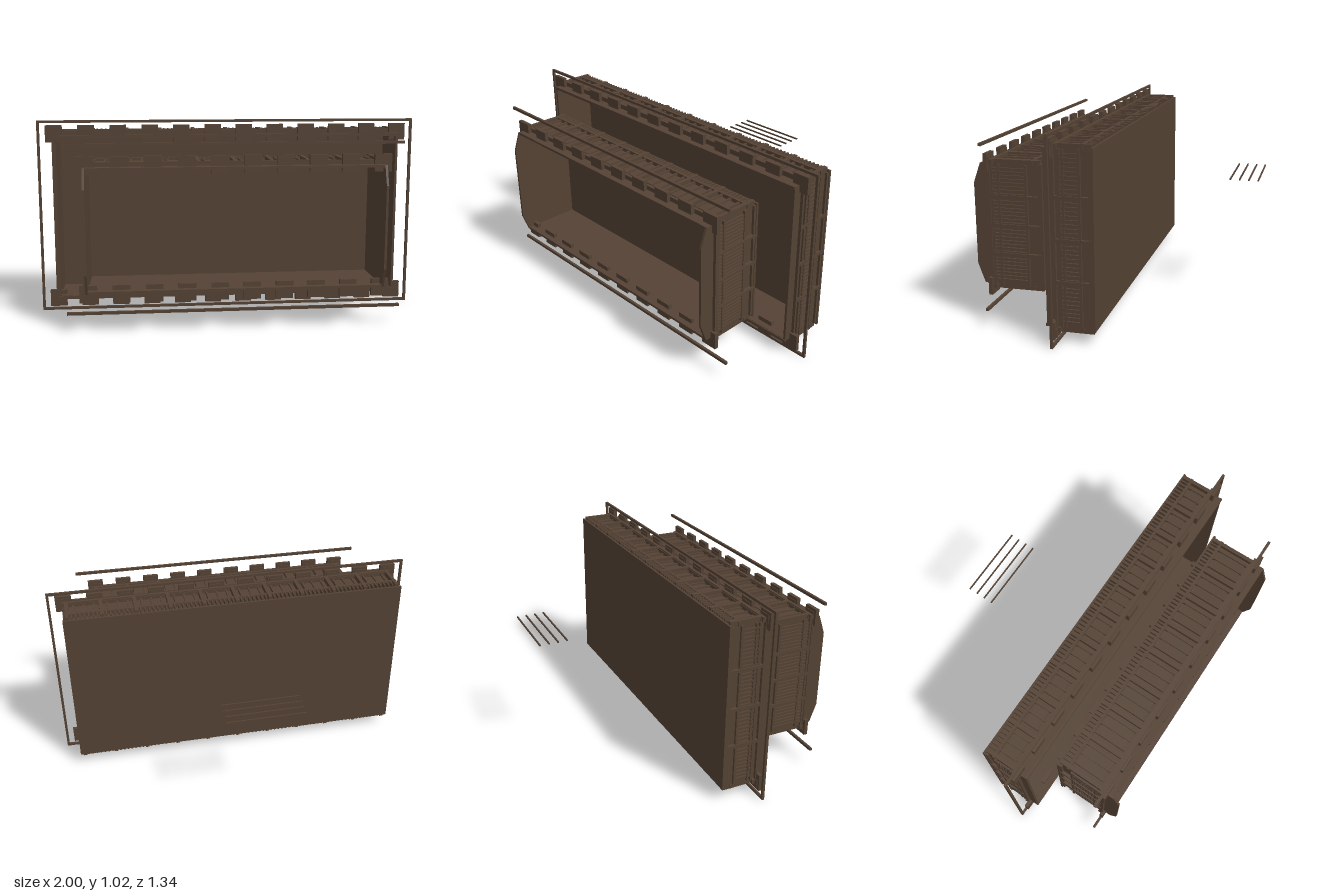
import * as THREE from 'three';

const CY = 0.51; // height of the horizontal mirror plane

export function createModel() {
  const model = new THREE.Group();
  const brown = new THREE.MeshStandardMaterial({ color: 0x544234 });
  brown.name = 'dark brown';

  // box from min/max extents
  function box(parent, name, x0, x1, y0, y1, z0, z1) {
    const m = new THREE.Mesh(new THREE.BoxGeometry(x1 - x0, y1 - y0, z1 - z0), brown);
    m.position.set((x0 + x1) / 2, (y0 + y1) / 2, (z0 + z1) / 2);
    m.name = name;
    parent.add(m);
    return m;
  }
  // the same box on the top and bottom wall; a, b measured out from the mirror plane
  function topBottom(parent, name, x0, x1, a, b, z0, z1) {
    box(parent, name, x0, x1, CY + a, CY + b, z0, z1);
    box(parent, name, x0, x1, CY - b, CY - a, z0, z1);
  }
  // the same box on the left and right wall; a, b measured out from x = 0
  function leftRight(parent, name, a, b, y0, y1, z0, z1) {
    box(parent, name, a, b, y0, y1, z0, z1);
    box(parent, name, -b, -a, y0, y1, z0, z1);
  }

  // open tray with ribbed walls; w, h are the outer half sizes of its walls
  function tray(name, o) {
    const g = new THREE.Group();
    g.name = name;
    model.add(g);
    const { w, h, z0, z1, rimZ, ribW, ribH } = o;
    const t = 0.012;

    // shell
    box(g, 'backPanel', -w - ribW, w + ribW, CY - h - 0.01, CY + h + 0.01, z0, z0 + 0.012);
    topBottom(g, 'longWall', -w, w, h - t, h, z0 + 0.01, z1);
    if (o.cheek) {
      // end walls with chamfered front corners
      const s = new THREE.Shape();
      s.moveTo(z0 + 0.01, -h);
      s.lineTo(z1, -h);
      s.lineTo(z1 + o.cheek, -h + 0.1);
      s.lineTo(z1 + o.cheek, h - 0.1);
      s.lineTo(z1, h);
      s.lineTo(z0 + 0.01, h);
      const geo = new THREE.ExtrudeGeometry(s, { depth: t, bevelEnabled: false });
      geo.rotateY(-Math.PI / 2); // shape x becomes z, depth runs to -x
      for (const x of [w, -w + t]) {
        const m = new THREE.Mesh(geo, brown);
        m.position.set(x, CY, 0);
        m.name = 'endWall';
        g.add(m);
      }
    } else {
      leftRight(g, 'endWall', w - t, w, CY - h, CY + h, z0 + 0.01, z1);
      topBottom(g, 'frontLip', -w, w, h - 0.01, h + 0.004, z1 - 0.01, z1 + 0.005);
    }

    // rim around the mouth, with rows of tabs
    topBottom(g, 'rim', -w - ribW, w + ribW, h, h + ribH, rimZ - 0.028, rimZ - 0.012);
    leftRight(g, 'rim', w, w + ribW, CY - h - ribH, CY + h + ribH, rimZ - 0.012, rimZ);
    for (let i = 0; i < o.tabs; i++) {
      const x = -o.tabX + (2 * o.tabX * i) / (o.tabs - 1);
      topBottom(g, 'tab', x - 0.043, x + 0.043, o.tabY, o.tabY + 0.088, rimZ - 0.008, rimZ + 0.012);
      topBottom(g, 'tabBacking', x - 0.03, x + 0.03, h, h + ribH + 0.015, rimZ - 0.012, rimZ - 0.004);
    }

    // long walls: cross ribs, framed panels and fins in every bay
    const pitch = (2 * w - 0.02) / o.bays;
    const zb = z0 + 0.01, zf = rimZ - 0.02, zm = z0 + 0.065;
    for (let i = 0; i <= o.bays; i++) {
      const x = -w + 0.01 + i * pitch;
      topBottom(g, 'crossRib', x - 0.01, x + 0.01, h, h + ribH, zb, zf);
      if (i === o.bays) break;
      topBottom(g, 'panel', x + 0.035, x + pitch - 0.035, h, h + 0.008, zm + 0.015, zf - 0.03);
      for (const f of [0.2, 0.5, 0.8]) {
        topBottom(g, 'panelBar', x + f * pitch - 0.005, x + f * pitch + 0.005, h, h + 0.016, zm, zf - 0.02);
      }
      for (let k = 1; k < 8; k++) {
        const fx = x + (k * pitch) / 8;
        topBottom(g, 'fin', fx - 0.004, fx + 0.004, h, h + ribH - 0.004, zb, zm - 0.015);
      }
    }
    topBottom(g, 'lengthRail', -w - 0.005, w + 0.005, h, h + ribH - 0.003, zm - 0.015, zm);
    topBottom(g, 'lengthRail', -w - 0.005, w + 0.005, h, h + ribH - 0.006, zf - 0.012, zf);

    // end walls: shelves, slats and uprights
    const rows = 4, step = o.shelf;
    for (let i = -1; i <= 1; i++) {
      leftRight(g, 'shelf', w, w + ribW, CY + i * step - 0.008, CY + i * step + 0.008, zb, rimZ);
    }
    const top = CY + h - 0.015, bottom = CY - h + 0.015;
    const count = o.slats * rows;
    for (let i = 0; i < count; i++) {
      const y = bottom + ((i + 0.5) * (top - bottom)) / count;
      leftRight(g, 'slat', w, w + ribW * 0.6, y - 0.006, y + 0.006, o.slatZ0, o.slatZ1);
    }
    const d = (o.slatZ1 - o.slatZ0) * 0.78;
    for (const [z, s] of [[o.slatZ0 - 0.012, 0.012], [o.slatZ0 + d, 0.01], [o.slatZ1, 0.012], [zb, 0.015]]) {
      leftRight(g, 'upright', w, w + ribW * 0.8, CY - h, CY + h, z, z + s);
    }
    return g;
  }

  // large rear tray
  const rear = tray('rearTray', {
    w: 0.91, h: 0.43, z0: 0, z1: 0.245, rimZ: 0.2, ribW: 0.015, ribH: 0.025,
    tabs: 12, tabX: 0.913, tabY: 0.395, bays: 10, shelf: 0.205,
    slats: 10, slatZ0: 0.075, slatZ1: 0.16,
  });

  // smaller front tray
  const front = tray('frontTray', {
    w: 0.74, h: 0.308, z0: 0.31, z1: 0.632, rimZ: 0.59, ribW: 0.016, ribH: 0.022,
    tabs: 10, tabX: 0.728, tabY: 0.272, bays: 8, shelf: 0.147,
    slats: 8, slatZ0: 0.4, slatZ1: 0.565, cheek: 0.036,
  });

  // thin frame round the rear tray
  topBottom(rear, 'outerFrame', -1, 1, 0.495, 0.508, 0.187, 0.2);
  leftRight(rear, 'outerFrame', 0.987, 1, CY - 0.5, CY + 0.5, 0.187, 0.2);

  // free rods above and below the front tray
  topBottom(front, 'longRod', -0.835, 0.835, 0.408, 0.422, 0.58, 0.594);

  // four short rods behind
  for (let i = 0; i < 4; i++) {
    const z = -0.665 + i * 0.0485;
    box(model, 'rearRod', -0.2, 0.2, 0.672, 0.679, z - 0.0035, z + 0.0035);
  }
  return model;
}
